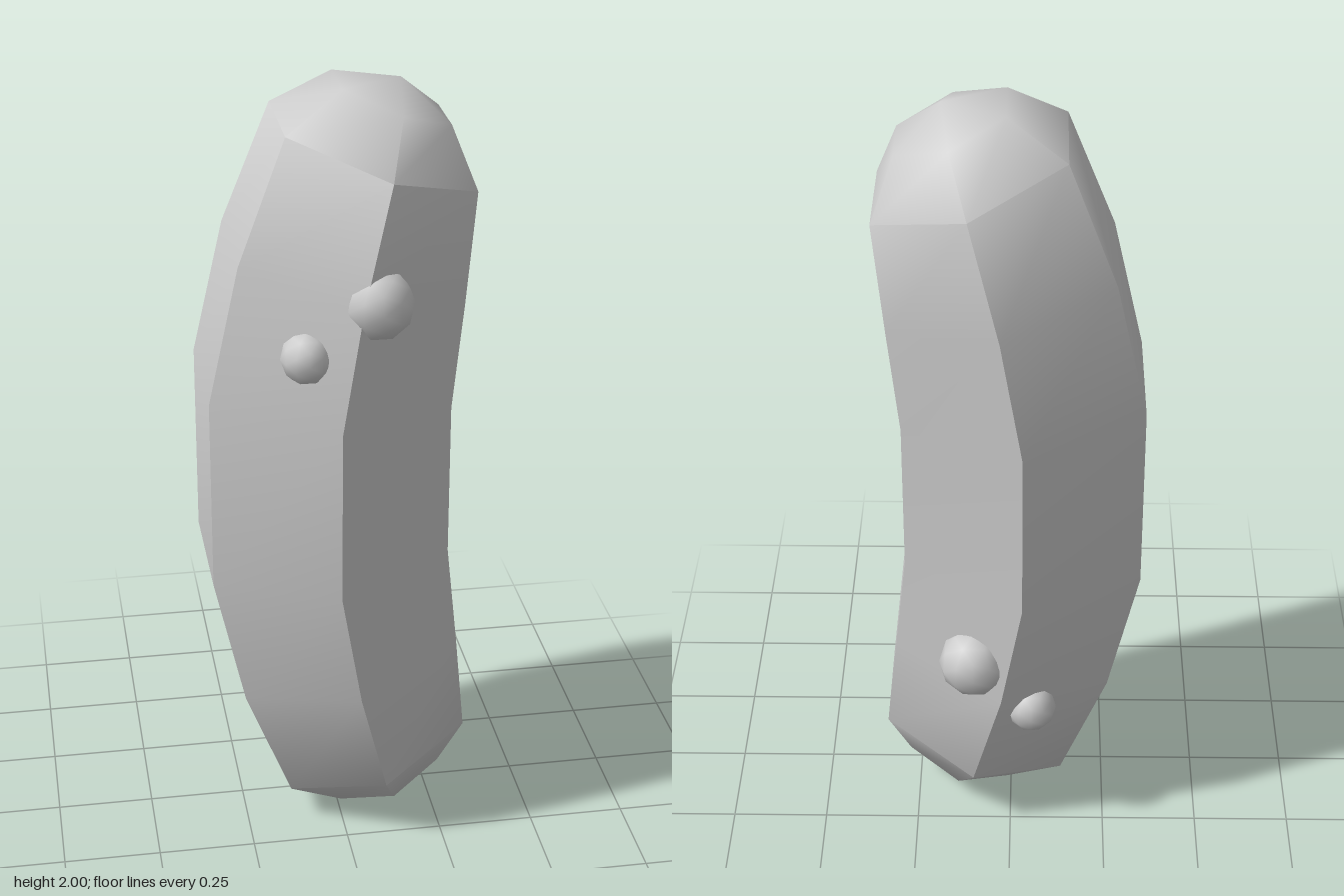
import * as THREE from 'three';
import { toCreasedNormals } from 'three/addons/utils/BufferGeometryUtils.js';

// Upper half cross-sections: outer edge x, y; inner edge x, y; half depth
const UPPER = [
  [-0.333, 1.25, 0.27, 1.2, 0.35],
  [-0.255, 1.6, 0.3, 1.47, 0.33],
  [-0.135, 1.91, 0.33, 1.75, 0.285],
  [0.01, 2.0, 0.275, 1.9, 0.163],
];
const POLE_X = 0.165;

// Six corners of a tilted hexagonal section
function hexRing([lx, ly, rx, ry, r]) {
  const mx = (lx + rx) / 2, my = (ly + ry) / 2;
  return [
    [mx, my, r], [rx, ry, r / 2], [rx, ry, -r / 2],
    [mx, my, -r], [lx, ly, -r / 2], [lx, ly, r / 2],
  ];
}

// Curved hexagonal body, mirrored about y = 1
function bodyGeometry() {
  const lower = UPPER.map(([lx, ly, rx, ry, r]) => [lx, 2 - ly, rx, 2 - ry, r]).reverse();
  const rings = [...lower, ...UPPER].map(hexRing);
  const points = [...rings.flat(), [POLE_X, 0, 0], [POLE_X, 2, 0]];
  const bottom = points.length - 2, top = points.length - 1;
  const last = (rings.length - 1) * 6;
  const index = [];
  for (let i = 0; i < 6; i++) {
    const j = (i + 1) % 6;
    for (let k = 0; k < last; k += 6) {
      index.push(k + i, k + j, k + 6 + j, k + i, k + 6 + j, k + 6 + i);
    }
    index.push(bottom, j, i, last + i, last + j, top);
  }
  const geometry = new THREE.BufferGeometry();
  geometry.setAttribute('position', new THREE.Float32BufferAttribute(points.flat(), 3));
  geometry.setIndex(index);
  return toCreasedNormals(geometry, THREE.MathUtils.degToRad(50));
}

export function createModel() {
  const group = new THREE.Group();
  const grey = new THREE.MeshStandardMaterial({ color: 0xcccccc });
  grey.name = 'light grey';

  const body = new THREE.Mesh(bodyGeometry(), grey);
  body.name = 'body';
  group.add(body);

  // Round bumps half sunk into the front and back panels
  const bumps = [
    ['frontLargeBump', 0.065, 1.53, 0.27, 0.09],
    ['frontSmallBump', -0.105, 1.4, 0.265, 0.065],
    ['backLargeBump', 0.093, 0.555, -0.27, 0.09],
    ['backSmallBump', -0.055, 0.4, -0.262, 0.065],
  ];
  for (const [name, x, y, z, r] of bumps) {
    const bump = new THREE.Mesh(new THREE.IcosahedronGeometry(r, 1), grey);
    bump.name = name;
    bump.position.set(x, y, z);
    group.add(bump);
  }
  return group;
}
